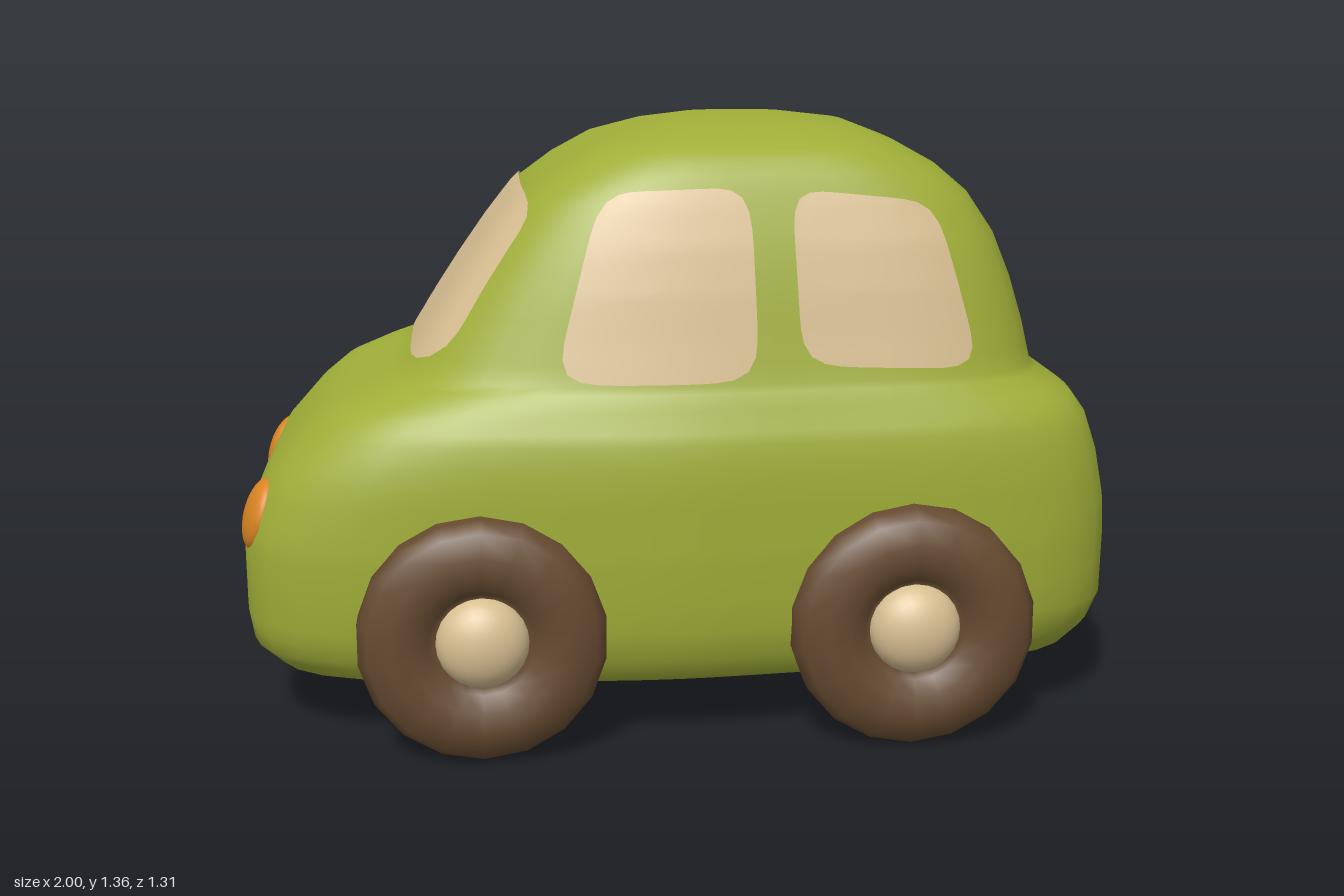
import * as THREE from 'three';

// Horizontal body slices: y, nose x, tail x, half width, corner squareness
const SLICES = [
  [0.10, -0.1, -0.1, 0, 5], [0.11, -0.84, 0.60, 0.30, 5], [0.13, -0.89, 0.86, 0.45, 5],
  [0.15, -0.94, 0.93, 0.49, 5], [0.20, -0.99, 0.975, 0.52, 5], [0.27, -1, 1, 0.54, 5],
  [0.42, -1, 1, 0.55, 5], [0.50, -0.98, 0.995, 0.55, 5], [0.60, -0.93, 0.975, 0.55, 5],
  [0.69, -0.85, 0.945, 0.54, 5], [0.74, -0.79, 0.91, 0.52, 5], [0.78, -0.70, 0.85, 0.505, 4.7],
  [0.81, -0.62, 0.82, 0.49, 4.5], [0.90, -0.565, 0.80, 0.47, 4.5], [1.00, -0.50, 0.77, 0.45, 4.5],
  [1.10, -0.43, 0.73, 0.425, 4.5], [1.19, -0.36, 0.67, 0.395, 4.5], [1.25, -0.28, 0.60, 0.37, 4.2],
  [1.30, -0.19, 0.51, 0.33, 4], [1.335, -0.08, 0.42, 0.22, 3.5], [1.355, 0.03, 0.28, 0.10, 3],
  [1.36, 0.13, 0.13, 0, 3],
];

function sliceAt(y) {
  let i = 0;
  while (i < SLICES.length - 2 && SLICES[i + 1][0] < y) i++;
  const t = (y - SLICES[i][0]) / (SLICES[i + 1][0] - SLICES[i][0]);
  const [, nose, tail, w, n] = SLICES[i].map((v, k) => THREE.MathUtils.lerp(v, SLICES[i + 1][k], t));
  return { c: (nose + tail) / 2, a: (tail - nose) / 2, w, n };
}

// The sides swell gently around the front doors
const swell = (x) => 1 + 0.06 * Math.exp(-(((x + 0.05) / 0.3) ** 2));
const arc = (t, n) => Math.pow(Math.max(0, 1 - Math.abs(t) ** n), 1 / n);

function sidePoint(x, y, sign) {
  const s = sliceAt(y);
  return [x, y + 0.002, sign * (s.w * arc((x - s.c) / s.a, s.n) * swell(x) + 0.007)];
}

function frontPoint(z, y) {
  const s = sliceAt(y);
  return [s.c - s.a * arc(z / s.w, s.n) - 0.007, y + 0.004, z];
}

function meshFrom(positions, indices, material, name) {
  const g = new THREE.BufferGeometry();
  g.setAttribute('position', new THREE.Float32BufferAttribute(positions, 3));
  g.setIndex(indices);
  g.computeVertexNormals();
  const m = new THREE.Mesh(g, material);
  m.name = name;
  return m;
}

function makeBody(material) {
  const N = 72, pos = [], idx = [];
  // Two rows per slice interval
  const heights = [];
  SLICES.forEach((s, i) => {
    heights.push(s[0]);
    if (i < SLICES.length - 1) heights.push((s[0] + SLICES[i + 1][0]) / 2);
  });
  heights.forEach((y, i) => {
    const s = sliceAt(y);
    for (let j = 0; j < N; j++) {
      const t = (j / N) * Math.PI * 2, c = Math.cos(t), d = Math.sin(t);
      const r = Math.pow(Math.abs(c) ** s.n + Math.abs(d) ** s.n, -1 / s.n);
      const x = s.c + s.a * r * c;
      pos.push(x, y, s.w * r * d * swell(x));
      if (i < heights.length - 1) {
        const a = i * N + j, b = i * N + ((j + 1) % N);
        idx.push(a, a + N, b, b, a + N, b + N);
      }
    }
  });
  return meshFrom(pos, idx, material, 'body');
}

// Rounded four-cornered pane laid on the body; corners: bottom left, bottom right, top right, top left
function makePane([bl, br, tr, tl], place, material, name) {
  const R = 10, M = 48, pos = [], idx = [];
  const lerp = THREE.MathUtils.lerp;
  for (let i = 0; i <= R; i++) {
    for (let j = 0; j < M; j++) {
      const t = (j / M) * Math.PI * 2, c = Math.cos(t), d = Math.sin(t);
      const r = (i / R) * Math.pow(c ** 6 + d ** 6, -1 / 6);
      const u = (1 + r * c) / 2, v = (1 + r * d) / 2;
      const p = [0, 1].map((k) => lerp(lerp(bl[k], br[k], u), lerp(tl[k], tr[k], u), v));
      pos.push(...place(p[0], p[1]));
      if (i < R) {
        const a = i * M + j, b = i * M + ((j + 1) % M);
        idx.push(a, a + M, b, b, a + M, b + M);
      }
    }
  }
  return meshFrom(pos, idx, material, name);
}

function makeWheel(x, sign, rubber, cream) {
  const wheel = new THREE.Group();
  wheel.name = 'wheel';
  // Tyre profile: radius, distance from the centre line
  const profile = [
    [0, 0.42], [0.16, 0.43], [0.22, 0.455], [0.258, 0.49], [0.272, 0.52], [0.272, 0.58],
    [0.25, 0.612], [0.2, 0.632], [0.15, 0.628], [0.115, 0.605], [0.1, 0.59], [0, 0.59],
  ].map(([r, h]) => new THREE.Vector2(r, h));
  const tyre = new THREE.Mesh(new THREE.LatheGeometry(profile, 18), rubber);
  tyre.name = 'tyre';
  const hub = new THREE.Mesh(new THREE.SphereGeometry(0.102, 24, 8, 0, Math.PI * 2, 0, Math.PI / 2), cream);
  hub.name = 'hubcap';
  hub.scale.y = 0.7;
  hub.position.y = 0.584;
  wheel.add(tyre, hub);
  wheel.rotation.x = sign * Math.PI / 2;
  wheel.position.set(x, 0.273, 0);
  return wheel;
}

export function createModel() {
  const mat = (name, color) => {
    const m = new THREE.MeshStandardMaterial({ color, side: THREE.DoubleSide });
    m.name = name;
    return m;
  };
  const green = mat('green paint', 0xa0ae38);
  const cream = mat('cream', 0xd8bf92);
  const brown = mat('brown rubber', 0x664a30);
  const orange = mat('orange lamp', 0xd98422);

  const car = new THREE.Group();
  car.name = 'car';
  car.add(makeBody(green));
  car.add(makePane([[-0.39, 0.83], [0.39, 0.83], [0.325, 1.2], [-0.325, 1.2]], frontPoint, cream, 'windscreen'));

  for (const sign of [1, -1]) {
    const place = (x, y) => sidePoint(x, y, sign);
    car.add(makePane([[-0.3, 0.815], [0.145, 0.815], [0.135, 1.225], [-0.19, 1.215]], place, cream, 'frontWindow'));
    car.add(makePane([[0.24, 0.845], [0.645, 0.825], [0.55, 1.185], [0.225, 1.22]], place, cream, 'rearWindow'));
    for (const x of [-0.463, 0.483]) car.add(makeWheel(x, sign, brown, cream));

    const lamp = new THREE.Mesh(new THREE.SphereGeometry(1, 20, 14), orange);
    lamp.name = 'headlamp';
    lamp.scale.set(0.035, 0.083, 0.075);
    lamp.rotation.set(0, sign * 0.2, -0.3);
    lamp.position.set(-0.953, 0.495, sign * 0.31);
    car.add(lamp);
  }
  return car;
}
